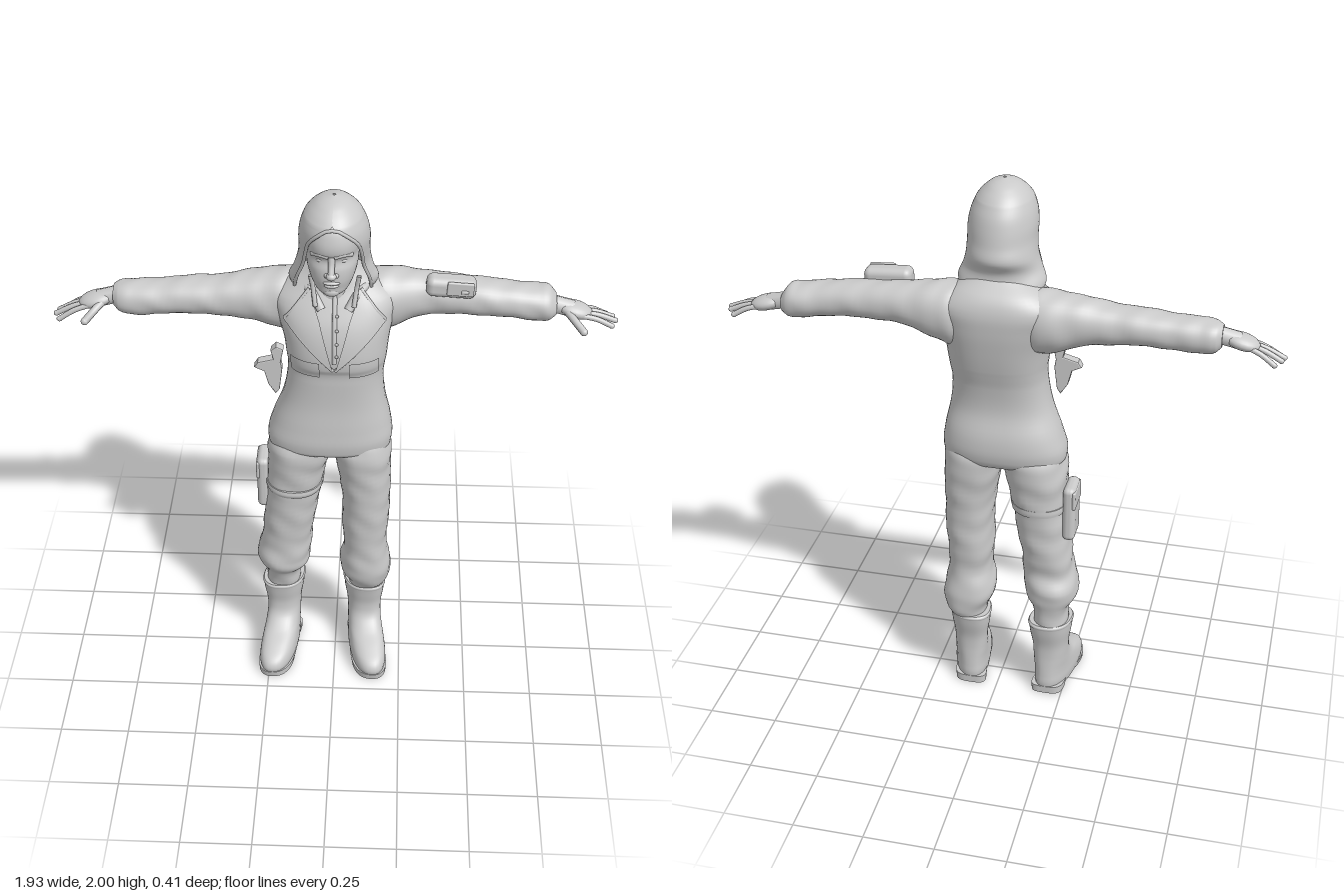
import * as THREE from 'three';
import { RoundedBoxGeometry } from 'three/addons/geometries/RoundedBoxGeometry.js';

const grey = new THREE.MeshStandardMaterial({ color: 0xcacaca, side: THREE.DoubleSide });
grey.name = 'plain light grey';

const spow = (v, p) => Math.sign(v) * Math.abs(v) ** p;

// Smooth sampler over rows [t, u0, u1, v0, v1, opening]
function sampler(rows) {
  const f = new THREE.CubicInterpolant(rows.map(r => r[0]),
    rows.flatMap(r => [r[1], r[2], r[3], r[4], r[5] ?? 0]), 5);
  return t => Array.from(f.evaluate(t));
}

// Skin of rounded cross-sections, along y (u = x, v = z) or along x (u = y, v = z)
function loft(rows, { axis = 'y', segs = 36, steps = 5, p = 0.9, open = false, wrinkle = 0, shear = 0 } = {}) {
  const at = sampler(rows), ts = [], pos = [], idx = [];
  rows.forEach((r, i) => {
    if (i) for (let k = 1; k <= steps; k++) ts.push(rows[i - 1][0] + (r[0] - rows[i - 1][0]) * k / steps);
    else ts.push(r[0]);
  });
  const cols = open ? segs + 1 : segs;
  const put = (t, u, v) => axis === 'y' ? pos.push(u + shear * v, t, v) : pos.push(t, u, v);
  const tri = (a, b, c) => axis === 'y' ? idx.push(a, b, c) : idx.push(a, c, b);
  const ring = t => {
    const [u0, u1, v0, v1, o] = at(t);
    for (let j = 0; j < cols; j++) {
      const a = Math.PI / 2 + o + (2 * Math.PI - 2 * o) * j / segs;
      const w = 1 + wrinkle * Math.sin(t * 55 + 2.2 * Math.sin(a * 2) + Math.cos(a)) * Math.sin(t * 17 + 1 + a);
      put(t, (u0 + u1) / 2 + (u1 - u0) / 2 * w * spow(Math.cos(a), p),
        (v0 + v1) / 2 + (v1 - v0) / 2 * w * spow(Math.sin(a), p));
    }
  };
  ts.forEach(ring);
  for (let i = 0; i < ts.length - 1; i++) for (let j = 0; j < segs; j++) {
    const a = i * cols + j, b = i * cols + (j + 1) % cols;
    tri(a, a + cols, b);
    tri(b, a + cols, b + cols);
  }
  // Flat end caps
  if (!open) [ts[0], ts[ts.length - 1]].forEach((t, end) => {
    const base = pos.length / 3, [u0, u1, v0, v1] = at(t);
    ring(t);
    put(t, (u0 + u1) / 2, (v0 + v1) / 2);
    for (let j = 0; j < segs; j++) {
      const a = base + j, b = base + (j + 1) % segs;
      end ? tri(a, base + segs, b) : tri(a, b, base + segs);
    }
  });
  const g = new THREE.BufferGeometry();
  g.setAttribute('position', new THREE.Float32BufferAttribute(pos, 3));
  g.setIndex(idx);
  g.computeVertexNormals();
  return g;
}

const V = (x, y, z) => new THREE.Vector3(x, y, z);
const tube = (pts, r, closed = false) =>
  new THREE.TubeGeometry(new THREE.CatmullRomCurve3(pts, closed), 32, r, 8, closed);

const TORSO = [
  [0.975, -0.18, 0.14, -0.12, 0.05], [0.99, -0.225, 0.185, -0.145, 0.085], [1.02, -0.24, 0.2, -0.162, 0.1],
  [1.1, -0.222, 0.194, -0.165, 0.1], [1.2, -0.185, 0.174, -0.142, 0.093], [1.3, -0.166, 0.166, -0.15, 0.095],
  [1.35, -0.165, 0.172, -0.163, 0.098], [1.375, -0.168, 0.176, -0.17, 0.108], [1.45, -0.178, 0.184, -0.186, 0.108],
  [1.53, -0.2, 0.198, -0.198, 0.09], [1.6, -0.215, 0.205, -0.198, 0.056], [1.65, -0.165, 0.15, -0.175, 0.03],
  [1.69, -0.1, 0.09, -0.125, 0.02], [1.72, -0.06, 0.055, -0.09, 0.02]];
const torsoAt = sampler(TORSO), TP = 0.82;

// Depth of the chest surface at a given x and y
function chestZ(x, y) {
  const [x0, x1, z0, z1] = torsoAt(y);
  const c = Math.min(0.97, Math.abs(x - (x0 + x1) / 2) / ((x1 - x0) / 2)) ** (1 / TP);
  return (z0 + z1) / 2 + (z1 - z0) / 2 * Math.sqrt(1 - c * c) ** TP;
}

// Thin cloth panel between four corners, laid over the chest
function chestPanel(c, lift) {
  const g = new THREE.PlaneGeometry(1, 1, 10, 10), q = g.attributes.position;
  for (let i = 0; i < q.count; i++) {
    const s = q.getX(i) + 0.5, t = q.getY(i) + 0.5;
    const mix = k => (c[0][k] * (1 - s) + c[1][k] * s) * (1 - t) + (c[3][k] * (1 - s) + c[2][k] * s) * t;
    q.setXYZ(i, mix(0), mix(1), chestZ(mix(0), mix(1)) + lift);
  }
  g.computeVertexNormals();
  return g;
}

export function createModel() {
  const model = new THREE.Group();
  const add = (name, geo, x = 0, y = 0, z = 0, sx = 1, sy = 1, sz = 1) => {
    const m = new THREE.Mesh(geo, grey);
    m.name = name;
    m.position.set(x, y, z);
    m.scale.set(sx, sy, sz);
    model.add(m);
    return m;
  };
  const ball = (name, x, y, z, rx, ry, rz) => add(name, new THREE.SphereGeometry(1, 20, 14), x, y, z, rx, ry, rz);

  // Overalls
  add('torso', loft(TORSO, { p: TP, segs: 48 }));
  add('rightTrouserLeg', loft([
    [0.31, -0.262, -0.135, -0.125, 0.025], [0.39, -0.266, -0.128, -0.13, 0.045], [0.43, -0.29, -0.1, -0.138, 0.07],
    [0.47, -0.292, -0.096, -0.14, 0.075], [0.53, -0.278, -0.088, -0.12, 0.07], [0.6, -0.268, -0.084, -0.13, 0.074],
    [0.7, -0.258, -0.066, -0.135, 0.08], [0.8, -0.25, -0.05, -0.14, 0.084], [0.9, -0.246, -0.03, -0.15, 0.09],
    [0.98, -0.24, -0.008, -0.155, 0.094], [1.03, -0.225, 0.0, -0.145, 0.08], [1.08, -0.2, -0.01, -0.11, 0.05]], { wrinkle: 0.03 }));
  add('leftTrouserLeg', loft([
    [0.31, 0.05, 0.18, -0.125, 0.025], [0.34, 0.045, 0.198, -0.138, 0.045], [0.39, 0.02, 0.21, -0.142, 0.066],
    [0.44, 0.018, 0.205, -0.138, 0.07], [0.5, 0.032, 0.192, -0.122, 0.07], [0.6, 0.025, 0.194, -0.13, 0.074],
    [0.7, 0.026, 0.2, -0.135, 0.08], [0.8, 0.02, 0.2, -0.14, 0.084], [0.9, 0.002, 0.2, -0.15, 0.09],
    [0.98, -0.014, 0.198, -0.155, 0.094], [1.03, -0.02, 0.185, -0.145, 0.08], [1.08, -0.01, 0.165, -0.11, 0.05]], { wrinkle: 0.025 }));
  const arm = { axis: 'x', wrinkle: 0.025, p: 0.95 };
  add('rightSleeve', loft([
    [-0.755, 1.515, 1.59, -0.11, -0.03], [-0.735, 1.497, 1.6, -0.128, -0.012], [-0.68, 1.487, 1.607, -0.133, -0.004],
    [-0.6, 1.492, 1.61, -0.137, -0.003], [-0.5, 1.497, 1.62, -0.145, -0.002], [-0.4, 1.49, 1.626, -0.148, 0],
    [-0.3, 1.476, 1.644, -0.16, 0.002], [-0.22, 1.45, 1.655, -0.176, 0.008], [-0.15, 1.435, 1.66, -0.178, 0.01],
    [-0.08, 1.46, 1.65, -0.14, -0.01]], arm));
  add('leftSleeve', loft([
    [0.07, 1.46, 1.65, -0.14, -0.01], [0.14, 1.435, 1.662, -0.18, 0.008], [0.2, 1.455, 1.66, -0.183, 0], [0.3, 1.495, 1.647, -0.172, -0.022],
    [0.4, 1.503, 1.637, -0.165, -0.02], [0.5, 1.502, 1.628, -0.16, -0.018], [0.6, 1.495, 1.615, -0.16, -0.02],
    [0.68, 1.482, 1.605, -0.166, -0.026], [0.72, 1.482, 1.6, -0.163, -0.03], [0.745, 1.5, 1.57, -0.145, -0.05]], arm));

  // Lapels, shirt front, pockets
  for (const s of [-1, 1]) {
    const side = s > 0 ? 'left' : 'right';
    const corners = [[0.004 * s, 1.385], [0.168 * s, 1.55], [0.085 * s, 1.655], [0.05 * s, 1.56]];
    add(side + 'Lapel', chestPanel(s > 0 ? corners : [corners[0], corners[3], corners[2], corners[1]], 0.016));
    for (let i = 0; i < 2; i++) {
      const [a, b] = [corners[i], corners[i + 1]];
      add(side + 'LapelEdge', tube([0, 0.33, 0.67, 1].map(k => {
        const x = a[0] + (b[0] - a[0]) * k, y = a[1] + (b[1] - a[1]) * k;
        return V(x, y, chestZ(x, y) + 0.01);
      }), 0.006));
    }
    add(side + 'ChestPocket', chestPanel([[0.1 * s - 0.05, 1.345], [0.1 * s + 0.05, 1.345],
      [0.1 * s + 0.05, 1.41], [0.1 * s - 0.05, 1.41]], 0.007));
    add(side + 'CollarFold', tube([V(0.1 * s, 1.645, -0.09), V(0.105 * s, 1.65, -0.02),
      V(0.075 * s, 1.635, 0.03), V(0.045 * s, 1.59, 0.06)], 0.016));
    add(side + 'HoodCord', tube([V(0.08 * s, 1.72, 0.055), V(0.072 * s, 1.67, 0.052), V(0.064 * s, 1.61, 0.07)], 0.008));
  }
  add('shirtPlacket', tube([1.41, 1.48, 1.55, 1.63].map(y => V(0, y, chestZ(0, y))), 0.008));
  for (let i = 0; i < 4; i++) ball('button', 0.008, 1.44 + i * 0.045, chestZ(0, 1.44 + i * 0.045) + 0.007, 0.006, 0.006, 0.004);

  // Boots
  for (const [side, cx, s] of [['right', -0.205, -1], ['left', 0.117, 1]]) {
    const w = (y, a, z0, z1) => [y, cx - a, cx + a, z0, z1];
    const o = { p: 0.85, shear: 0.15 * s };
    add(side + 'Boot', loft([w(0.015, 0.064, -0.11, 0.198), w(0.045, 0.068, -0.114, 0.205), w(0.075, 0.067, -0.112, 0.185),
      w(0.1, 0.065, -0.11, 0.135), w(0.125, 0.063, -0.108, 0.075), w(0.16, 0.062, -0.106, 0.03), w(0.21, 0.064, -0.108, 0.016),
      w(0.27, 0.073, -0.122, 0.024), w(0.315, 0.077, -0.13, 0.032)], o));
    add(side + 'BootCuff', loft([w(0.303, 0.077, -0.131, 0.032), w(0.312, 0.079, -0.133, 0.034), w(0.319, 0.075, -0.128, 0.03)], o));
    add(side + 'Heel', loft([w(0, 0.058, -0.112, -0.02), w(0.03, 0.06, -0.113, -0.01)], { ...o, p: 0.6 }));
    add(side + 'Sole', loft([w(0.002, 0.064, 0.015, 0.2), w(0.028, 0.068, -0.02, 0.204)], o));
  }

  // Hands with spread fingers
  const hands = [
    ['right', -1, V(-0.74, 1.556, -0.07), V(-0.855, 1.528, -0.062), V(-0.957, 1.488, -0.062)],
    ['left', 1, V(0.73, 1.537, -0.098), V(0.85, 1.508, -0.09), V(0.95, 1.485, -0.095)]];
  for (const [side, s, wrist, knuckle, tip] of hands) {
    add(side + 'Wrist', tube([wrist, wrist.clone().lerp(knuckle, 0.3), wrist.clone().lerp(knuckle, 0.6)], 0.031));
    const mid = wrist.clone().lerp(knuckle, 0.68);
    ball(side + 'Palm', mid.x, mid.y, mid.z, 0.062, 0.026, 0.046).rotation.z = -s * 0.25;
    [-1.5, -0.5, 0.5, 1.5].forEach((k, i) => {
      const a = knuckle.clone().add(V(-s * 0.02, 0.002, k * 0.019));
      const b = tip.clone().add(V(-s * [0.028, 0.008, 0, 0.014][i], -0.006 * Math.abs(k), k * 0.026));
      const m = a.clone().lerp(b, 0.5).add(V(0, 0.007, 0));
      add(side + 'Finger', tube([a, m, b], 0.0095));
      ball(side + 'Fingertip', b.x, b.y, b.z, 0.0098, 0.0095, 0.0095);
    });
    const t0 = wrist.clone().add(V(s * 0.045, -0.01, 0.02)), t2 = wrist.clone().add(V(s * 0.108, -0.058, 0.09));
    add(side + 'Thumb', tube([t0, t0.clone().lerp(t2, 0.5).add(V(0, 0.004, 0.008)), t2], 0.013));
    ball(side + 'ThumbTip', t2.x, t2.y, t2.z, 0.0133, 0.013, 0.013);
  }

  // Head and face
  const hx = -0.008;
  add('neck', loft([[1.6, -0.065, 0.055, -0.08, 0.045], [1.68, -0.06, 0.047, -0.07, 0.045], [1.76, -0.06, 0.047, -0.07, 0.07]]));
  add('face', loft([
    [1.675, hx - 0.03, hx + 0.03, 0.02, 0.106], [1.692, hx - 0.052, hx + 0.052, -0.02, 0.125], [1.715, hx - 0.066, hx + 0.066, -0.04, 0.13],
    [1.74, hx - 0.076, hx + 0.076, -0.06, 0.135], [1.78, hx - 0.085, hx + 0.085, -0.07, 0.134], [1.815, hx - 0.086, hx + 0.086, -0.08, 0.126],
    [1.845, hx - 0.087, hx + 0.087, -0.08, 0.14], [1.89, hx - 0.086, hx + 0.086, -0.08, 0.137], [1.935, hx - 0.066, hx + 0.066, -0.06, 0.115],
    [1.96, hx - 0.03, hx + 0.03, -0.03, 0.08]]));
  add('noseBridge', tube([V(hx, 1.832, 0.126), V(hx, 1.805, 0.134), V(hx, 1.778, 0.149)], 0.011));
  ball('noseTip', hx, 1.772, 0.148, 0.017, 0.013, 0.016);
  ball('upperLip', hx, 1.738, 0.131, 0.028, 0.007, 0.011);
  ball('lowerLip', hx, 1.726, 0.128, 0.024, 0.008, 0.011);
  ball('chin', hx, 1.697, 0.113, 0.027, 0.018, 0.019);
  for (const s of [-1, 1]) {
    ball('nostril', hx + 0.014 * s, 1.768, 0.135, 0.01, 0.008, 0.011);
    ball('eye', hx + 0.034 * s, 1.813, 0.11, 0.016, 0.008, 0.011);
    add('brow', tube([V(hx + 0.008 * s, 1.834, 0.131), V(hx + 0.035 * s, 1.839, 0.124), V(hx + 0.064 * s, 1.831, 0.1)], 0.009));
  }

  // Hood, open around the face, with a rolled rim
  const HOOD = [
    [1.64, -0.15, 0.132, -0.15, 0.05, 1.1], [1.675, -0.157, 0.143, -0.128, 0.06, 1.05], [1.715, -0.14, 0.128, -0.125, 0.085, 1.0],
    [1.76, -0.126, 0.116, -0.152, 0.11, 0.97], [1.81, -0.12, 0.114, -0.142, 0.13, 0.91], [1.86, -0.12, 0.114, -0.132, 0.146, 0.8],
    [1.9, -0.114, 0.106, -0.12, 0.15, 0.58], [1.93, -0.104, 0.094, -0.104, 0.142, 0.2], [1.942, -0.098, 0.088, -0.096, 0.135, 0.02],
    [1.97, -0.073, 0.063, -0.065, 0.105, 0], [1.99, -0.042, 0.034, -0.028, 0.068, 0], [2.0, -0.008, 0.002, 0.015, 0.025, 0]];
  add('hood', loft(HOOD, { open: true, p: 1, segs: 44 }));
  const hoodAt = sampler(HOOD);
  const edge = (y, s) => {
    const [x0, x1, z0, z1, o] = hoodAt(y);
    return V((x0 + x1) / 2 + s * (x1 - x0) / 2 * Math.sin(o), y, (z0 + z1) / 2 + (z1 - z0) / 2 * Math.cos(o));
  };
  const ys = [1.65, 1.7, 1.76, 1.82, 1.87, 1.91, 1.932];
  add('hoodRim', tube([...ys.map(y => edge(y, -1)), ...ys.slice().reverse().map(y => edge(y, 1))], 0.006));

  // Sleeve pouch
  const pouch = new THREE.Group();
  pouch.name = 'sleevePouch';
  pouch.position.set(0.385, 1.634, -0.038);
  pouch.rotation.z = -0.06;
  const box = (name, w, h, d, r, x, y, z) => {
    const m = new THREE.Mesh(new RoundedBoxGeometry(w, h, d, 3, r), grey);
    m.name = name;
    m.position.set(x, y, z);
    return m;
  };
  pouch.add(box('pouchBody', 0.168, 0.07, 0.07, 0.024, 0, 0, 0),
    box('pouchFlap', 0.09, 0.05, 0.012, 0.005, 0.03, 0.008, 0.034), box('pouchClasp', 0.025, 0.014, 0.012, 0.004, 0.045, 0, 0.039));
  model.add(pouch);

  // Thigh pouch and its strap
  model.add(box('thighPouch', 0.046, 0.215, 0.115, 0.02, -0.262, 0.8, -0.045),
    box('thighPouchFlap', 0.014, 0.07, 0.112, 0.006, -0.28, 0.86, -0.045));
  add('thighStrap', loft([[0.8, -0.252, -0.046, -0.143, 0.089], [0.812, -0.254, -0.043, -0.145, 0.094],
    [0.828, -0.253, -0.041, -0.145, 0.092]]));

  // Tool hanging at the right side of the chest
  const tool = new THREE.Shape([[-0.205, 1.235], [-0.195, 1.25], [-0.185, 1.33], [-0.19, 1.36], [-0.18, 1.41], [-0.2, 1.42],
    [-0.215, 1.405], [-0.207, 1.37], [-0.225, 1.365], [-0.262, 1.355], [-0.272, 1.34], [-0.24, 1.325], [-0.226, 1.27]]
    .map(([x, y]) => new THREE.Vector2(x, y)));
  add('hangingTool', new THREE.ExtrudeGeometry(tool, { depth: 0.025, bevelEnabled: true, bevelSize: 0.004, bevelThickness: 0.006, bevelSegments: 2 }), 0, 0, 0.01);
  return model;
}
